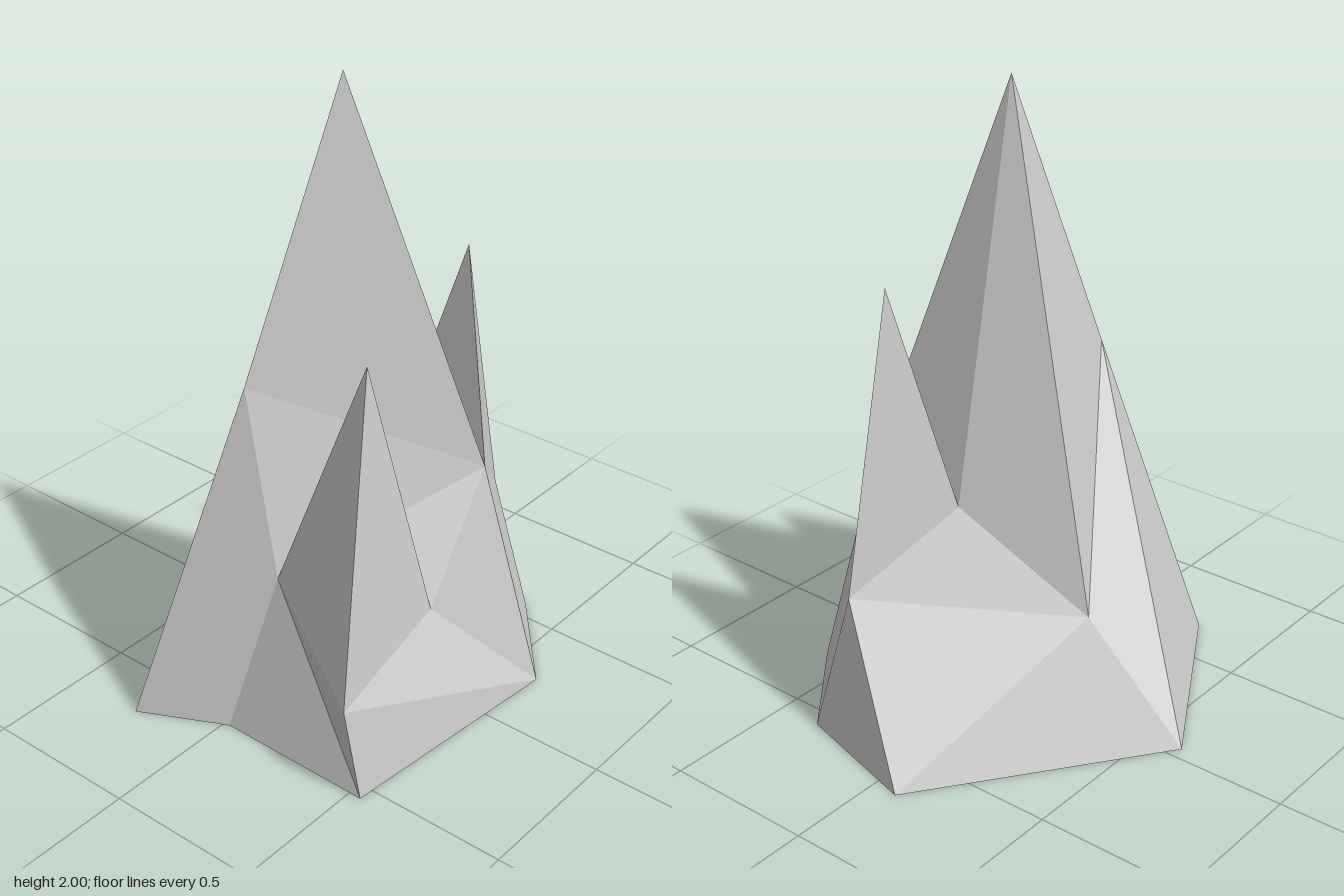
import * as THREE from 'three';

// Corner points of the rock, shared by neighbouring parts
const points = {
  // ring on the ground
  A: [-0.045, 0, -0.617], B: [-0.683, 0, -0.25], H: [-0.547, 0, 0.02], F: [-0.55, 0, 0.54],
  E: [0.245, 0, 0.614], D: [0.564, 0, 0.35], C: [0.683, 0, -0.088],
  // shoulders and valleys
  I: [-0.387, 1.1, 0.03 - 0.06], J: [-0.41, 0.51, 0.107], G: [-0.577, 0.31, 0.5],
  O: [-0.1, 0.385, 0.445], N: [0.158, 0.765, 0.442], L: [0.508, 0.47, 0.243],
  M: [0.19, 0.71, 0.073], K: [0.058, 0.41, -0.328],
  // peaks
  P: [-0.08, 2, 0.083], Q: [-0.322, 1.28, 0.37], S: [0.28, 1.405, 0.267],
};

const material = new THREE.MeshStandardMaterial({
  color: 0xcccccc, flatShading: true, side: THREE.DoubleSide,
});

// Each word lists the corners of one facet, anticlockwise from outside
function facets(name, words) {
  const positions = [];
  for (const word of words.split(' ')) {
    for (let i = 1; i < word.length - 1; i++) {
      for (const key of [word[0], word[i], word[i + 1]]) positions.push(...points[key]);
    }
  }
  const geometry = new THREE.BufferGeometry();
  geometry.setAttribute('position', new THREE.Float32BufferAttribute(positions, 3));
  geometry.computeVertexNormals();
  const mesh = new THREE.Mesh(geometry, material);
  mesh.name = name;
  return mesh;
}

export function createModel() {
  const rock = new THREE.Group();
  rock.name = 'spikedRock';
  rock.add(
    facets('mainSpire', 'PKI PIN PNM PMK'),
    facets('rightSpire', 'QGO QOJ QJG'),
    facets('leftSpire', 'SLM SMN SNL'),
    facets('valleys', 'IJN JON MLK'),
    // sloping skirt, open underneath
    facets('backSkirt', 'AIK ABI CAK LCK'),
    facets('rightSkirt', 'BHJI HFJ JFG'),
    facets('frontSkirt', 'GFE OGE OEN'),
    facets('leftSkirt', 'EDLN DCL'),
  );
  return rock;
}
